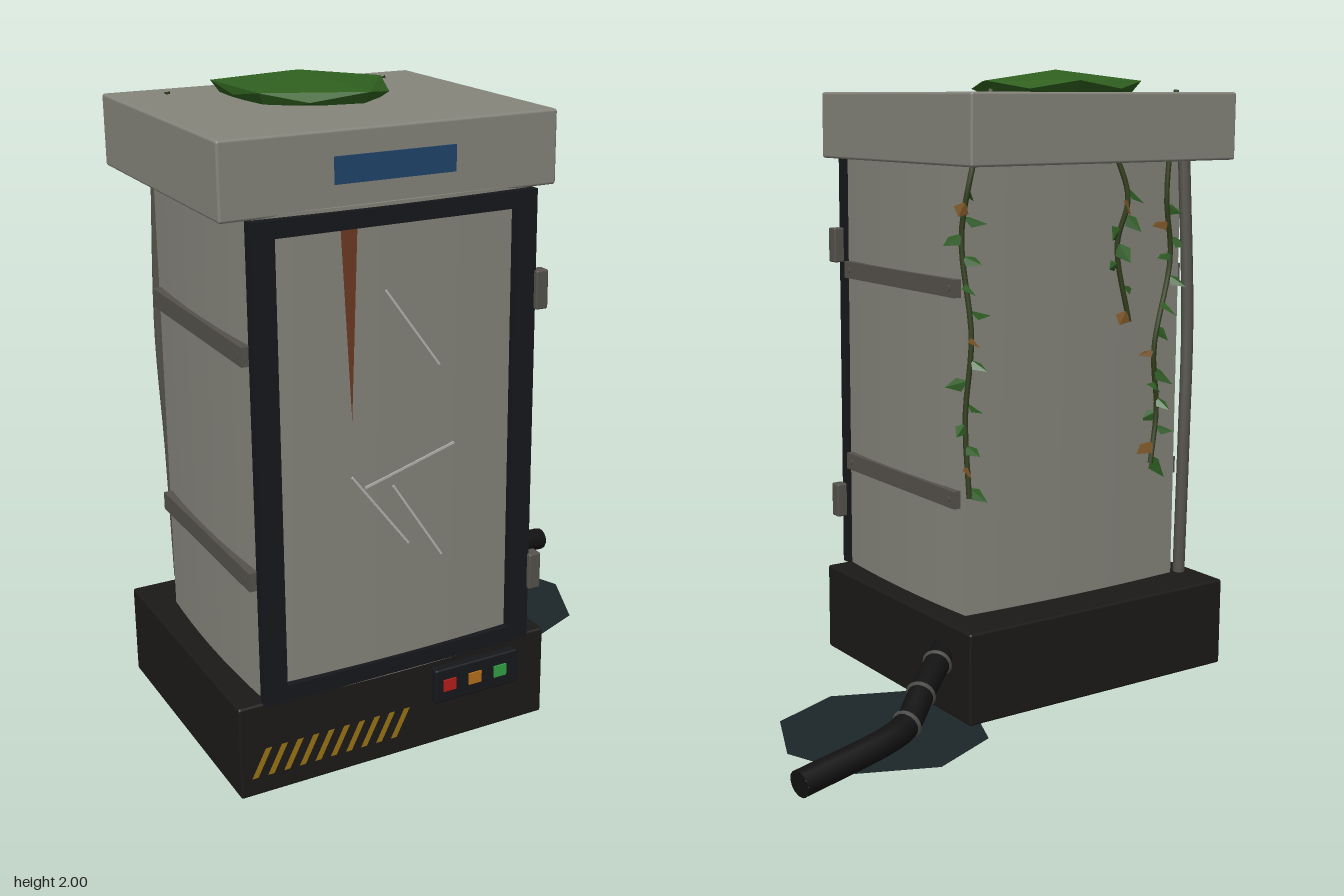
import * as THREE from 'three';
import { RoundedBoxGeometry } from 'three/addons/geometries/RoundedBoxGeometry.js';
import { ConvexGeometry } from 'three/addons/geometries/ConvexGeometry.js';

const V = (x, y, z) => new THREE.Vector3(x, y, z);
const mat = (color, extra = {}) => new THREE.MeshStandardMaterial({ color, ...extra });
const M = {
  shell: mat(0x85857c), dark: mat(0x1c1a18), frame: mat(0x16181b), steel: mat(0x55524c),
  rubber: mat(0x121212), ring: mat(0x4c4c4a), blue: mat(0x1f456b), yellow: mat(0x9a7414),
  scratch: mat(0xb4b4ae), rust: mat(0x6e3a22, { side: THREE.DoubleSide }),
  puddle: mat(0x1c2628, { side: THREE.DoubleSide }),
  moss: mat(0x2f5f1f, { flatShading: true }), stem: mat(0x33401c),
  leaf: mat(0x2c5a22, { flatShading: true, side: THREE.DoubleSide }),
  dryLeaf: mat(0x6e4c22, { flatShading: true, side: THREE.DoubleSide }),
};

function add(parent, name, geometry, material, x = 0, y = 0, z = 0) {
  const mesh = new THREE.Mesh(geometry, material);
  mesh.name = name;
  mesh.position.set(x, y, z);
  parent.add(mesh);
  return mesh;
}

// Box given by its extents
function box(parent, name, material, [x0, x1], [y0, y1], [z0, z1], radius = 0) {
  const size = [x1 - x0, y1 - y0, z1 - z0];
  const geometry = radius ? new RoundedBoxGeometry(...size, 2, radius) : new THREE.BoxGeometry(...size);
  return add(parent, name, geometry, material, (x0 + x1) / 2, (y0 + y1) / 2, (z0 + z1) / 2);
}

function polygon(points) {
  return new THREE.Shape(points.map(([x, y]) => new THREE.Vector2(x, y)));
}

let seed = 7;
function rand(a, b) {
  seed = (seed * 16807) % 2147483647;
  return a + (b - a) * seed / 2147483647;
}

// Body panels bow slightly outward between sharp corners
function bowedBox(w, h, d, bow) {
  const geometry = new THREE.BoxGeometry(w, h, d, 10, 1, 10);
  const p = geometry.attributes.position;
  for (let i = 0; i < p.count; i++) {
    const u = p.getX(i) / (w / 2), v = p.getZ(i) / (d / 2);
    p.setX(i, u * (w / 2 + bow * (1 - v * v)));
    p.setZ(i, v * (d / 2 + bow * (1 - u * u)));
  }
  geometry.computeVertexNormals();
  return geometry;
}

// Pointed leaf folded along its middle, hanging along -y
function leafGeometry() {
  const geometry = new THREE.BufferGeometry();
  geometry.setAttribute('position', new THREE.Float32BufferAttribute([
    0, 0, 0, -0.024, -0.03, 0.012, 0, -0.08, 0,
    0, 0, 0, 0, -0.08, 0, 0.024, -0.03, 0.012], 3));
  geometry.computeVertexNormals();
  return geometry;
}

function vine(root, name, points, count) {
  const group = new THREE.Group();
  group.name = name;
  root.add(group);
  const curve = new THREE.CatmullRomCurve3(points);
  add(group, 'vineStem', new THREE.TubeGeometry(curve, 24, 0.009, 5), M.stem);
  const geometry = leafGeometry();
  for (let i = 0; i < count; i++) {
    const p = curve.getPoint(0.2 + 0.8 * (i + 0.5) / count);
    const leaf = add(group, 'leaf', geometry, i % 6 === 1 ? M.dryLeaf : M.leaf, p.x, p.y, p.z);
    leaf.rotation.set(rand(0.1, 1.1), rand(-0.9, 0.9), (i % 2 ? 1 : -1) * rand(0.5, 1.4), 'YXZ');
    leaf.scale.setScalar(rand(0.75, 1.15));
  }
}

export function createModel() {
  const root = new THREE.Group();
  root.name = 'booth';

  // Base, body and cap
  box(root, 'base', M.dark, [-0.855, 0.175], [0.01, 0.305], [-0.365, 0.52], 0.008);
  add(root, 'body', bowedBox(0.85, 1.43, 0.72, 0.015), M.shell, -0.34, 1.01, 0.155);
  box(root, 'cap', M.shell, [-0.855, 0.175], [1.715, 1.93], [-0.365, 0.52], 0.008);
  box(root, 'signPanel', M.blue, [-0.525, -0.155], [1.785, 1.86], [0.515, 0.524]);

  // Door frame and hinges
  const frame = polygon([[-0.78, 0.305], [0.1, 0.305], [0.1, 1.715], [-0.78, 1.715]]);
  frame.holes.push(polygon([[-0.71, 0.355], [-0.71, 1.665], [0.03, 1.665], [0.03, 0.355]]));
  add(root, 'doorFrame', new THREE.ExtrudeGeometry(frame, { depth: 0.035, bevelEnabled: false }),
    M.frame, 0, 0, 0.507);
  for (const y of [0.53, 1.42])
    box(root, 'hinge', M.steel, [0.095, 0.135], [y - 0.058, y + 0.058], [0.515, 0.557], 0.005);

  // Scratches and rust streak on the door pane
  const scratches = [[-0.38, 1.48, -0.21, 1.24], [-0.45, 0.91, -0.16, 0.995],
    [-0.49, 0.95, -0.31, 0.71], [-0.36, 0.9, -0.2, 0.65]];
  for (const [x0, y0, x1, y1] of scratches) {
    const line = add(root, 'scratch', new THREE.BoxGeometry(Math.hypot(x1 - x0, y1 - y0), 0.007, 0.004),
      M.scratch, (x0 + x1) / 2, (y0 + y1) / 2, 0.531);
    line.rotation.z = Math.atan2(y1 - y0, x1 - x0);
  }
  add(root, 'rustStreak', new THREE.ShapeGeometry(
    polygon([[-0.515, 1.665], [-0.488, 1.12], [-0.465, 1.665]])), M.rust, 0, 0, 0.532);

  // Side straps with end bolts
  for (const side of [-1, 1]) {
    const x = -0.34 + side * 0.44;
    for (const y of [0.677, 1.34]) {
      box(root, 'sideStrap', M.steel, [x - 0.015, x + 0.012], [y - 0.028, y + 0.028], [-0.18, 0.49]);
      for (const z of [-0.15, 0.46])
        add(root, 'strapBolt', new THREE.CylinderGeometry(0.01, 0.01, 0.008, 8), M.steel,
          x + side * 0.012, y, z).rotation.z = Math.PI / 2;
    }
  }

  // Control panel
  box(root, 'controlPanel', M.frame, [-0.225, 0.065], [0.16, 0.272], [0.51, 0.548], 0.006);
  [0xb8201a, 0xb8701c, 0x33a044].forEach((color, i) => {
    const x = -0.178 + i * 0.089;
    box(root, 'button', mat(color), [x - 0.022, x + 0.022], [0.198, 0.236], [0.54, 0.553]);
  });

  // Hazard stripes
  for (let i = 0; i < 10; i++) {
    const x = -0.822 + i * 0.0505;
    add(root, 'hazardStripe', new THREE.ShapeGeometry(
      polygon([[x, 0.07], [x + 0.02, 0.07], [x + 0.066, 0.16], [x + 0.046, 0.16]])), M.yellow, 0, 0, 0.5225);
  }

  // Hose with clamp rings, lying over a puddle
  const hose = new THREE.CatmullRomCurve3([V(0.13, 0.215, -0.17), V(0.22, 0.19, -0.25),
    V(0.34, 0.145, -0.345), V(0.44, 0.1, -0.425), V(0.52, 0.085, -0.458), V(0.845, 0.047, -0.513)]);
  add(root, 'hose', new THREE.TubeGeometry(hose, 40, 0.041, 14), M.rubber);
  for (const [u, cap] of [[0, 0], [1, 1]]) {
    const end = add(root, 'hoseEnd', new THREE.CircleGeometry(0.041, 14), M.rubber);
    end.position.copy(hose.getPoint(u));
    end.lookAt(end.position.clone().addScaledVector(hose.getTangent(u), cap ? 1 : -1));
  }
  for (const u of [0.2, 0.4, 0.6]) {
    const ring = add(root, 'hoseRing', new THREE.TorusGeometry(0.04, 0.008, 6, 18), M.ring);
    ring.position.copy(hose.getPoint(u));
    ring.lookAt(ring.position.clone().add(hose.getTangent(u)));
  }
  const puddle = add(root, 'puddle', new THREE.CircleGeometry(0.33, 8), M.puddle, 0.4, 0.003, -0.22);
  puddle.rotation.x = -Math.PI / 2;

  // Faceted moss clump on the cap
  const upper = [[-0.56, -0.24], [-0.26, -0.31], [-0.07, -0.08], [-0.25, 0.2], [-0.54, 0.07]];
  const lower = [[-0.43, -0.3], [-0.13, -0.23], [-0.12, 0.07], [-0.42, 0.155], [-0.55, -0.09]];
  add(root, 'mossClump', new ConvexGeometry([V(-0.34, 2, -0.08),
    ...upper.map(([x, z]) => V(x, 1.965, z)), ...lower.map(([x, z]) => V(x, 1.94, z)),
    ...upper.map(([x, z]) => V(-0.33 + (x + 0.33) * 0.85, 1.91, -0.05 + (z + 0.05) * 0.85))]), M.moss);

  // Rear conduit
  const conduit = new THREE.CatmullRomCurve3([V(-0.735, 1.72, -0.255), V(-0.74, 1.2, -0.285),
    V(-0.72, 0.8, -0.305), V(-0.71, 0.345, -0.308)]);
  add(root, 'conduit', new THREE.TubeGeometry(conduit, 20, 0.02, 10), M.steel);
  add(root, 'conduitEnd', new THREE.CircleGeometry(0.02, 10), M.steel, -0.71, 0.346, -0.308).rotation.x = Math.PI / 2;

  // Vines hanging down the back
  vine(root, 'cornerVine', [V(0.02, 1.937, -0.24), V(0.1, 1.68, -0.25), V(0.115, 1.5, -0.225),
    V(0.095, 1.2, -0.25), V(0.11, 0.95, -0.24), V(0.105, 0.7, -0.255)], 15);
  vine(root, 'rearVine', [V(-0.69, 1.937, -0.26), V(-0.66, 1.6, -0.26), V(-0.69, 1.4, -0.25),
    V(-0.62, 1.1, -0.26), V(-0.65, 0.9, -0.245), V(-0.62, 0.72, -0.255)], 15);
  vine(root, 'shortVine', [V(-0.45, 1.75, -0.25), V(-0.49, 1.6, -0.27), V(-0.47, 1.45, -0.245),
    V(-0.52, 1.2, -0.25)], 8);

  return root;
}
